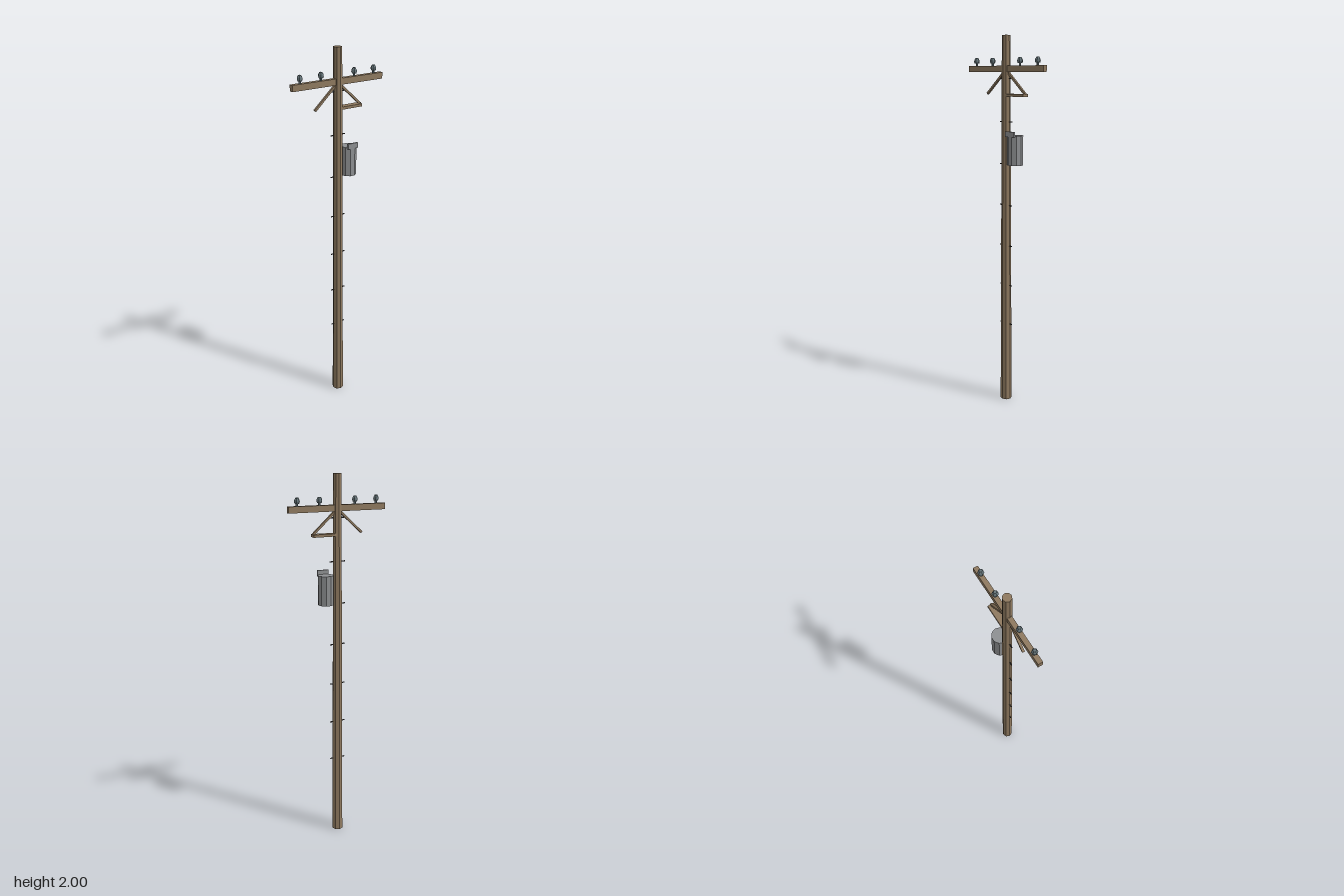
import * as THREE from 'three';

const mat = (color) => new THREE.MeshStandardMaterial({ color, flatShading: true });

export function createModel() {
  const model = new THREE.Group();
  const wood = mat(0x8f7a60), steel = mat(0x8e9092), iron = mat(0x3c3a38), glass = mat(0x66757a);
  const axisZ = -0.003; // depth of the pole's centre line

  const add = (name, geometry, material, x, y, z = axisZ) => {
    const mesh = new THREE.Mesh(geometry, material);
    mesh.name = name;
    mesh.position.set(x, y, z);
    model.add(mesh);
    return mesh;
  };

  // Tapered eight-sided pole and crossarm
  add('pole', new THREE.CylinderGeometry(0.022, 0.031, 2, 8), wood, 0, 1);
  add('crossarm', new THREE.BoxGeometry(0.533, 0.032, 0.024), wood, 0, 1.831);

  // Diagonal braces below the crossarm
  for (const side of [-1, 1]) {
    const dx = 0.132, dy = -0.12;
    const brace = add(side > 0 ? 'leftBrace' : 'rightBrace',
      new THREE.BoxGeometry(Math.hypot(dx, dy), 0.011, 0.012), wood, side * (0.004 + dx / 2), 1.823 + dy / 2);
    brace.rotation.z = side * Math.atan2(dy, dx);
  }

  // Small shelf arm on the left side
  add('shelfArm', new THREE.BoxGeometry(0.135, 0.014, 0.038), wood, 0.07, 1.698);

  // Insulators: pin plus six-sided bell
  const bell = [[0, 0], [0.012, 0], [0.0155, 0.008], [0.0145, 0.017], [0.008, 0.028], [0, 0.028]]
    .map(([r, y]) => new THREE.Vector2(r, y));
  for (const x of [-0.218, -0.098, 0.098, 0.218]) {
    add('insulatorPin', new THREE.CylinderGeometry(0.006, 0.006, 0.018, 6), glass, x, 1.853);
    add('insulatorBell', new THREE.LatheGeometry(bell, 6, Math.PI / 6), glass, x, 1.86);
  }

  // Transformer tank and its hanger plate
  add('transformerTank', new THREE.CylinderGeometry(0.042, 0.042, 0.155, 10, 1, false, Math.PI / 10),
    steel, 0.066, 1.415);
  add('transformerBracket', new THREE.BoxGeometry(0.061, 0.028, 0.01), steel, 0.066, 1.5, 0.036);

  // Climbing rungs through the pole
  for (let i = 0; i < 7; i++) {
    const rung = add('climbingRung', new THREE.CylinderGeometry(0.003, 0.003, 0.086, 6), iron, 0, 0.448 + i * 0.2225);
    rung.rotation.z = Math.PI / 2;
  }

  return model;
}
